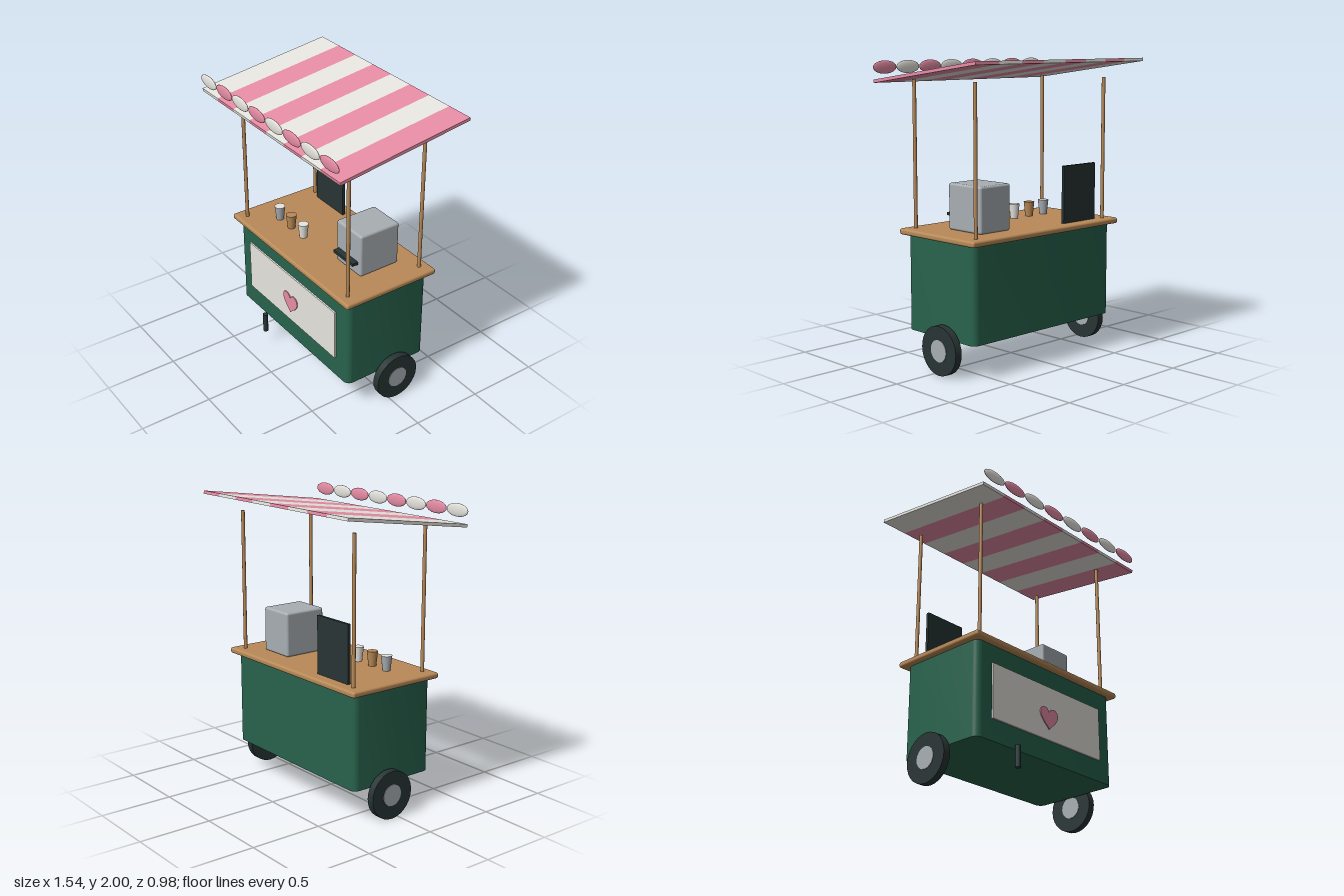
import * as THREE from 'three';
import { RoundedBoxGeometry } from 'three/addons/geometries/RoundedBoxGeometry.js';
import { toCreasedNormals } from 'three/addons/utils/BufferGeometryUtils.js';

const material = (name, color) => {
  const m = new THREE.MeshStandardMaterial({ color });
  m.name = name;
  return m;
};

export function createModel() {
  const green = material('green paint', 0x28634d);
  const wood = material('wood', 0xb98a58);
  const white = material('cream white', 0xf2f0ea);
  const pink = material('pink', 0xf093ac);
  const metal = material('steel', 0xa8aeb3);
  const dark = material('charcoal', 0x283434);

  const cart = new THREE.Group();
  cart.name = 'marketCart';
  const add = (name, geometry, mat, x, y, z, parent = cart) => {
    const mesh = new THREE.Mesh(geometry, mat);
    mesh.name = name;
    mesh.position.set(x, y, z);
    parent.add(mesh);
    return mesh;
  };
  const midZ = -0.005;

  // Cabinet: a rectangle with rounded corners, extruded upwards
  const w = 0.64, d = 0.318, r = 0.045;
  const plan = new THREE.Shape();
  plan.absarc(w - r, d - r, r, 0, Math.PI / 2);
  plan.absarc(-w + r, d - r, r, Math.PI / 2, Math.PI);
  plan.absarc(-w + r, -d + r, r, Math.PI, Math.PI * 1.5);
  plan.absarc(w - r, -d + r, r, Math.PI * 1.5, Math.PI * 2);
  plan.closePath();
  const cabinet = new THREE.ExtrudeGeometry(plan, { depth: 0.64, bevelEnabled: false, curveSegments: 6 });
  cabinet.rotateX(-Math.PI / 2);
  add('cabinet', toCreasedNormals(cabinet, 0.7), green, 0, 0.23, midZ);

  // Countertop
  add('countertop', new RoundedBoxGeometry(1.36, 0.04, 0.715, 3, 0.015), wood, 0, 0.885, -0.007);

  // Front sign with a heart
  add('signPanel', new THREE.BoxGeometry(1.02, 0.366, 0.012), white, 0, 0.558, 0.318);
  const heart = new THREE.Shape();
  heart.moveTo(0, -0.074);
  heart.bezierCurveTo(-0.03, -0.045, -0.083, -0.01, -0.083, 0.03);
  heart.bezierCurveTo(-0.083, 0.082, -0.015, 0.085, 0, 0.04);
  heart.bezierCurveTo(0.015, 0.085, 0.083, 0.082, 0.083, 0.03);
  heart.bezierCurveTo(0.083, -0.01, 0.03, -0.045, 0, -0.074);
  add('heart', new THREE.ExtrudeGeometry(heart, { depth: 0.008, bevelEnabled: false, curveSegments: 8 }),
    pink, 0, 0.52, 0.322);

  // Wheels with hubs, and the front prop leg
  const tyre = new THREE.CylinderGeometry(0.163, 0.163, 0.05, 28).rotateZ(Math.PI / 2);
  const hub = new THREE.CylinderGeometry(0.073, 0.073, 0.057, 20).rotateZ(Math.PI / 2);
  for (const side of [-1, 1]) {
    const wheel = new THREE.Group();
    wheel.name = side > 0 ? 'leftWheel' : 'rightWheel';
    wheel.position.set(side * 0.676, 0.164, -0.057);
    cart.add(wheel);
    add('tyre', tyre, dark, 0, 0, 0, wheel);
    add('hub', hub, metal, 0, 0, 0, wheel);
  }
  add('propLeg', new THREE.CylinderGeometry(0.018, 0.018, 0.143, 14), dark, -0.308, 0.178, 0.342);

  // Canopy posts
  const post = new THREE.CylinderGeometry(0.0125, 0.0125, 0.97, 12);
  for (const x of [-0.593, 0.593])
    for (const z of [0.283, -0.293]) add('canopyPost', post, wood, x, 1.385, z);

  // Sloping striped canopy, with a row of flattened ovals over its front edge
  const canopy = new THREE.Group();
  canopy.name = 'canopy';
  canopy.position.set(0, 1.924, -0.006);
  canopy.rotation.x = 0.136;
  cart.add(canopy);
  const step = 1.54 / 8;
  const stripe = new THREE.BoxGeometry(step, 0.021, 0.972);
  const oval = new THREE.SphereGeometry(1, 20, 14).scale(step / 2, 0.043, 0.011);
  for (let i = 0; i < 8; i++) {
    const x = (i - 3.5) * step, colour = i % 2 ? pink : white;
    add('canopyStripe', stripe, colour, x, 0, 0, canopy);
    add('canopyScallop', oval, colour, x, 1.947, 0.48);
  }

  // Menu board
  add('menuBoard', new THREE.BoxGeometry(0.31, 0.39, 0.02), dark, -0.37, 1.098, -0.274);

  // Drinks machine with its dark ledge
  add('drinksMachine', new RoundedBoxGeometry(0.265, 0.306, 0.307, 3, 0.016), metal, 0.343, 1.057, -0.058);
  add('machineLedge', new THREE.BoxGeometry(0.21, 0.02, 0.05), dark, 0.343, 1, 0.115);

  // Tapered cups
  const cup = new THREE.CylinderGeometry(0.037, 0.026, 0.1, 18);
  const lid = new THREE.CylinderGeometry(0.037, 0.037, 0.002, 18);
  [[-0.432, metal, white], [-0.29, wood, wood], [-0.145, white, white]].forEach(([x, body, top]) => {
    add('cup', cup, body, x, 0.954, 0.116);
    add('cupTop', lid, top, x, 1.005, 0.116);
  });

  return cart;
}
